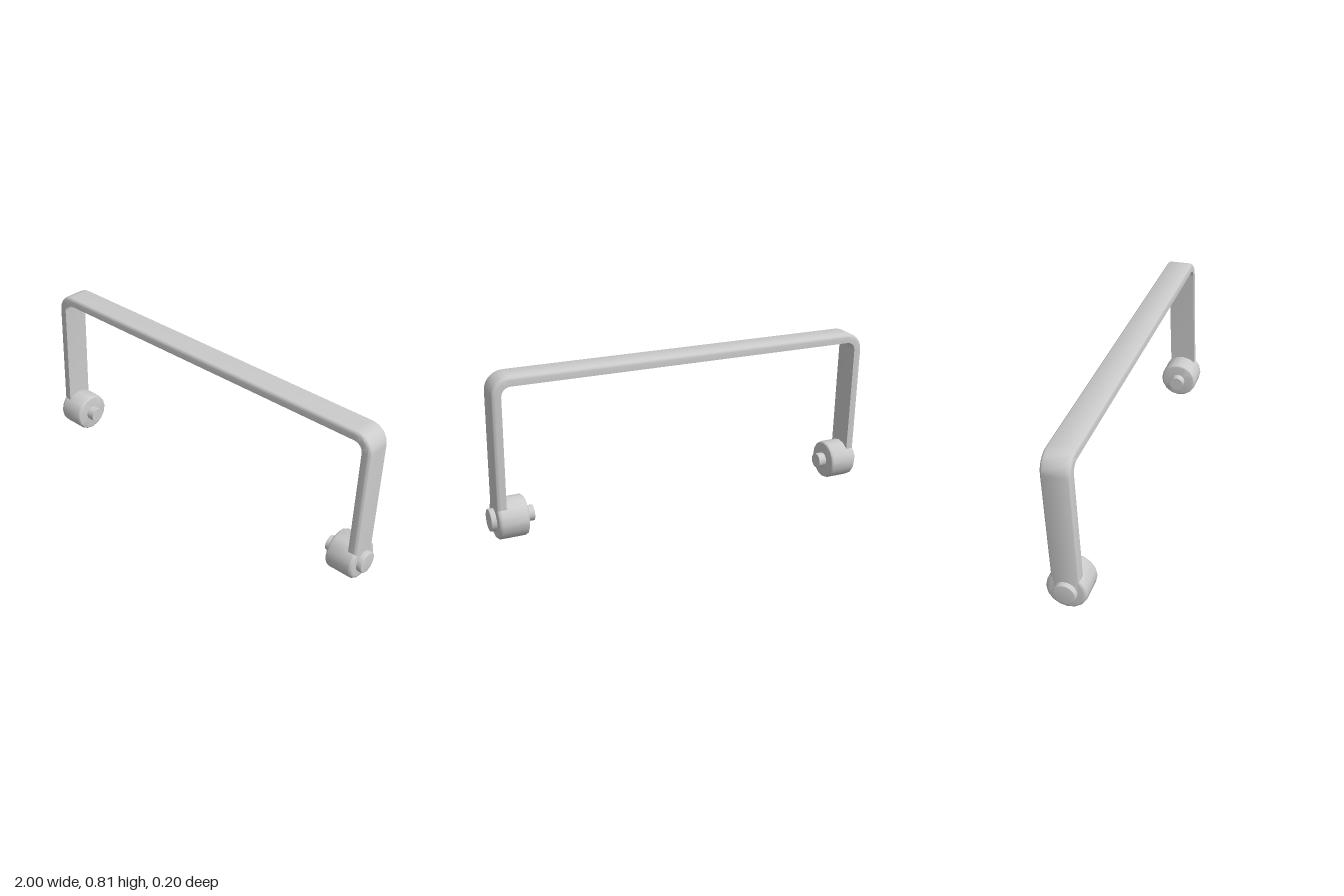
import * as THREE from 'three';
import { toCreasedNormals } from 'three/addons/utils/BufferGeometryUtils.js';

const material = new THREE.MeshStandardMaterial({ color: 0xcccccc });
const PIVOT_Y = 0.1;

// Rounded-edge disc lying along x from x0 to x1 (mirrored when side is -1)
function disc(name, x0, x1, r, bevel0, bevel1, sides, side) {
  const pts = [new THREE.Vector2(0, x0)];
  const steps = 4;
  const corner = (bevel, x, dir) => {
    if (!bevel) return [new THREE.Vector2(r, x)];
    return Array.from({ length: steps + 1 }, (_, i) => {
      const a = (i / steps) * Math.PI / 2;
      return new THREE.Vector2(r - bevel + bevel * Math.sin(a), x + dir * bevel * (1 - Math.cos(a)));
    });
  };
  pts.push(...corner(bevel0, x0, 1), ...corner(bevel1, x1, -1).reverse(), new THREE.Vector2(0, x1));
  const mesh = new THREE.Mesh(toCreasedNormals(new THREE.LatheGeometry(pts, sides), 0.6), material);
  mesh.name = name;
  mesh.rotation.z = -side * Math.PI / 2;
  return mesh;
}

// Flat strap swept along a U, with its two outer edges rounded
function strapGeometry() {
  const X = 0.975, TOP = 0.706, R = 0.09, T = 0.045, H = 0.068, B = 0.018;

  // Path of the outer face: point and outward normal, relative to the pivot
  const path = [[X, 0, 1, 0]];
  for (const [cx, start] of [[X - R, 0], [R - X, Math.PI / 2]]) {
    for (let i = 0; i <= 8; i++) {
      const a = start + (i / 8) * Math.PI / 2;
      const nx = Math.cos(a), ny = Math.sin(a);
      path.push([cx + R * nx, TOP - R + R * ny, nx, ny]);
    }
  }
  path.push([-X, 0, -1, 0]);

  // Cross-section as [inset, z]
  const front = [];
  for (let i = 0; i <= 4; i++) {
    const a = (i / 4) * Math.PI / 2;
    front.push([B * (1 - Math.sin(a)), H - B + B * Math.cos(a)]);
  }
  const back = front.map(([d, z]) => [d, -z]).reverse();
  const section = [[T, H], ...front, ...back, [T, -H]];

  const n = section.length, positions = [], index = [];
  path.forEach(([x, y, nx, ny], i) => {
    section.forEach(([d, z], j) => {
      positions.push(x - nx * d, y - ny * d, z);
      if (i === path.length - 1) return;
      const a = i * n + j, b = i * n + (j + 1) % n;
      index.push(a, b, b + n, a, b + n, a + n);
    });
  });
  const geometry = new THREE.BufferGeometry();
  geometry.setAttribute('position', new THREE.Float32BufferAttribute(positions, 3));
  geometry.setIndex(index);
  return toCreasedNormals(geometry, 0.6);
}

export function createModel() {
  const model = new THREE.Group();
  model.name = 'swingHandle';

  // Handle strap, leaning slightly back about the pivots
  const strap = new THREE.Mesh(strapGeometry(), material);
  strap.name = 'handleStrap';
  strap.position.y = PIVOT_Y;
  strap.rotation.x = -0.041;
  model.add(strap);

  // Pivot hubs with an outer cap and an inner pin
  for (const side of [1, -1]) {
    const pivot = new THREE.Group();
    pivot.name = side > 0 ? 'leftPivot' : 'rightPivot';
    pivot.position.y = PIVOT_Y;
    pivot.add(
      disc('hub', 0.828, 0.974, 0.098, 0.012, 0.018, 16, side),
      disc('outerCap', 0.96, 1, 0.054, 0, 0.004, 24, side),
      disc('innerPin', 0.787, 0.84, 0.038, 0, 0, 20, side),
    );
    model.add(pivot);
  }
  return model;
}
